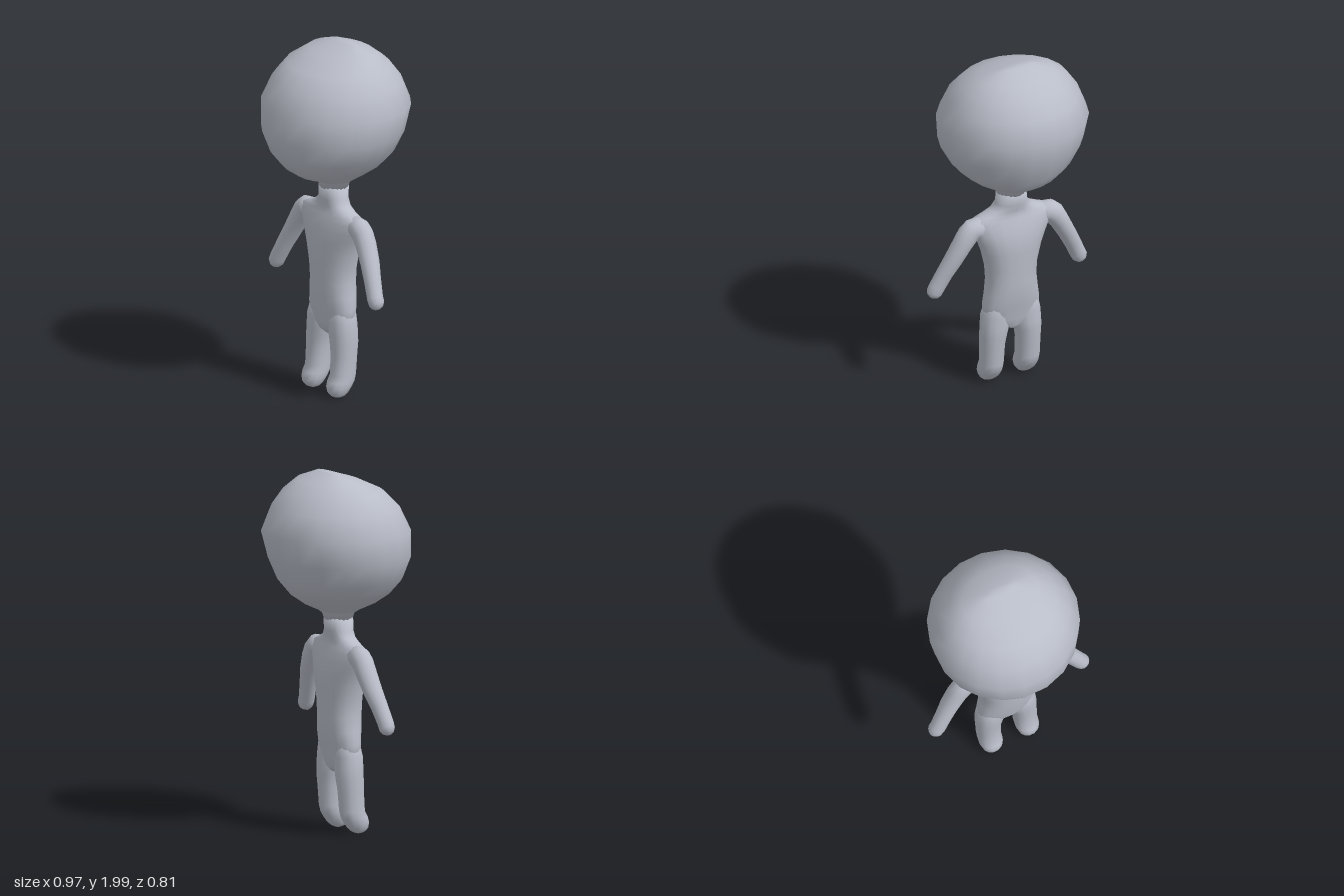
import * as THREE from 'three';

const skin = new THREE.MeshStandardMaterial({ color: 0xb9bdc8 });
skin.name = 'paleGreySkin';

// Closed skin through rings, listed bottom to top: [x, y, zFront, zBack, halfWidth, tilt]
function loft(name, rings, sides, { square = 1, offset = 0 } = {}) {
  const pos = [], index = [];
  const soften = (t) => Math.sign(t) * Math.abs(t) ** square;
  for (const [x, y, zf, zb, hw, tilt = 0] of rings) {
    for (let j = 0; j < sides; j++) {
      const a = ((j + offset) / sides) * Math.PI * 2;
      const u = soften(Math.cos(a)) * hw, v = soften(Math.sin(a));
      pos.push(x + u * Math.cos(tilt), y + u * Math.sin(tilt), (zf + zb) / 2 + (v * (zf - zb)) / 2);
    }
  }
  for (let i = 0; i < rings.length - 1; i++) {
    for (let j = 0; j < sides; j++) {
      const a = i * sides + j, b = i * sides + ((j + 1) % sides);
      index.push(a, a + sides, b, b, a + sides, b + sides);
    }
  }
  // End caps
  const last = (rings.length - 1) * sides, c0 = rings.length * sides;
  for (const r of [rings[0], rings[rings.length - 1]]) pos.push(r[0], r[1], (r[2] + r[3]) / 2);
  for (let j = 0; j < sides; j++) {
    const k = (j + 1) % sides;
    index.push(c0, j, k, c0 + 1, last + k, last + j);
  }
  const geo = new THREE.BufferGeometry();
  geo.setAttribute('position', new THREE.Float32BufferAttribute(pos, 3));
  geo.setIndex(index);
  geo.computeVertexNormals();
  const mesh = new THREE.Mesh(geo, skin);
  mesh.name = name;
  return mesh;
}

const mirror = (rings) => rings.map(([x, y, f, b, w, t = 0]) => [-x, y, f, b, w, -t]);

export function createModel() {
  const model = new THREE.Group();
  model.name = 'figure';

  // Large faceted head, its crown ridge set a little to the back
  model.add(loft('head', [
    [0, 1.18, 0.09, -0.065, 0.083],
    [0, 1.215, 0.1, -0.075, 0.093],
    [0, 1.235, 0.13, -0.105, 0.125],
    [0, 1.27, 0.23, -0.18, 0.18],
    [0, 1.325, 0.31, -0.26, 0.26],
    [0, 1.4, 0.367, -0.32, 0.335],
    [0, 1.52, 0.407, -0.367, 0.402],
    [0, 1.67, 0.403, -0.408, 0.42],
    [0, 1.8, 0.34, -0.357, 0.368],
    [0, 1.89, 0.25, -0.288, 0.305],
    [0, 1.955, 0.11, -0.205, 0.22],
    [0, 1.998, -0.03, -0.09, 0.095],
  ], 20, { offset: 0.5 }));

  // Hips, trunk, shoulders and neck
  model.add(loft('torso', [
    [0, 0.34, 0.06, -0.03, 0.03],
    [0, 0.365, 0.085, -0.045, 0.09],
    [0, 0.41, 0.1, -0.053, 0.165],
    [0, 0.5, 0.11, -0.07, 0.166],
    [0, 0.57, 0.12, -0.085, 0.154],
    [0, 0.65, 0.125, -0.088, 0.145],
    [0, 0.73, 0.128, -0.09, 0.15],
    [0, 0.83, 0.13, -0.094, 0.174],
    [0, 0.9, 0.128, -0.093, 0.2],
    [0, 0.96, 0.12, -0.08, 0.23],
    [0, 1.01, 0.105, -0.065, 0.25],
    [0, 1.04, 0.095, -0.053, 0.24],
    [0, 1.062, 0.088, -0.048, 0.18],
    [0, 1.085, 0.086, -0.05, 0.125],
    [0, 1.12, 0.088, -0.058, 0.09],
    [0, 1.19, 0.09, -0.065, 0.083],
  ], 20, { square: 0.9 }));

  // Arms, from rounded hand up into the shoulder
  const arm = [
    [0.46, 0.603, 0.078, 0.052, 0.012, 0.47],
    [0.455, 0.613, 0.095, 0.033, 0.032, 0.47],
    [0.445, 0.633, 0.106, 0.02, 0.044, 0.47],
    [0.43, 0.662, 0.106, 0.018, 0.046, 0.47],
    [0.39, 0.745, 0.095, 0.0, 0.047, 0.47],
    [0.345, 0.83, 0.085, -0.025, 0.05, 0.49],
    [0.295, 0.92, 0.078, -0.04, 0.055, 0.55],
    [0.262, 0.97, 0.075, -0.042, 0.062, 0.72],
    [0.232, 0.995, 0.075, -0.042, 0.063, 1.1],
    [0.17, 1.0, 0.075, -0.04, 0.06, 1.45],
  ];
  // Legs, with small rounded feet pushed forward
  const leg = [
    [0.11, 0.005, 0.09, 0.055, 0.02],
    [0.11, 0.015, 0.112, 0.035, 0.042],
    [0.11, 0.035, 0.128, 0.012, 0.057],
    [0.11, 0.065, 0.133, -0.01, 0.065],
    [0.11, 0.095, 0.125, -0.028, 0.067],
    [0.11, 0.13, 0.106, -0.036, 0.066],
    [0.109, 0.24, 0.1, -0.045, 0.068],
    [0.104, 0.31, 0.1, -0.053, 0.075],
    [0.097, 0.36, 0.1, -0.055, 0.081],
    [0.09, 0.43, 0.1, -0.052, 0.083],
    [0.08, 0.52, 0.085, -0.05, 0.07],
  ];
  model.add(loft('leftArm', arm, 14), loft('rightArm', mirror(arm), 14));
  model.add(loft('leftLeg', leg, 14, { square: 0.92 }), loft('rightLeg', mirror(leg), 14, { square: 0.92 }));
  return model;
}
